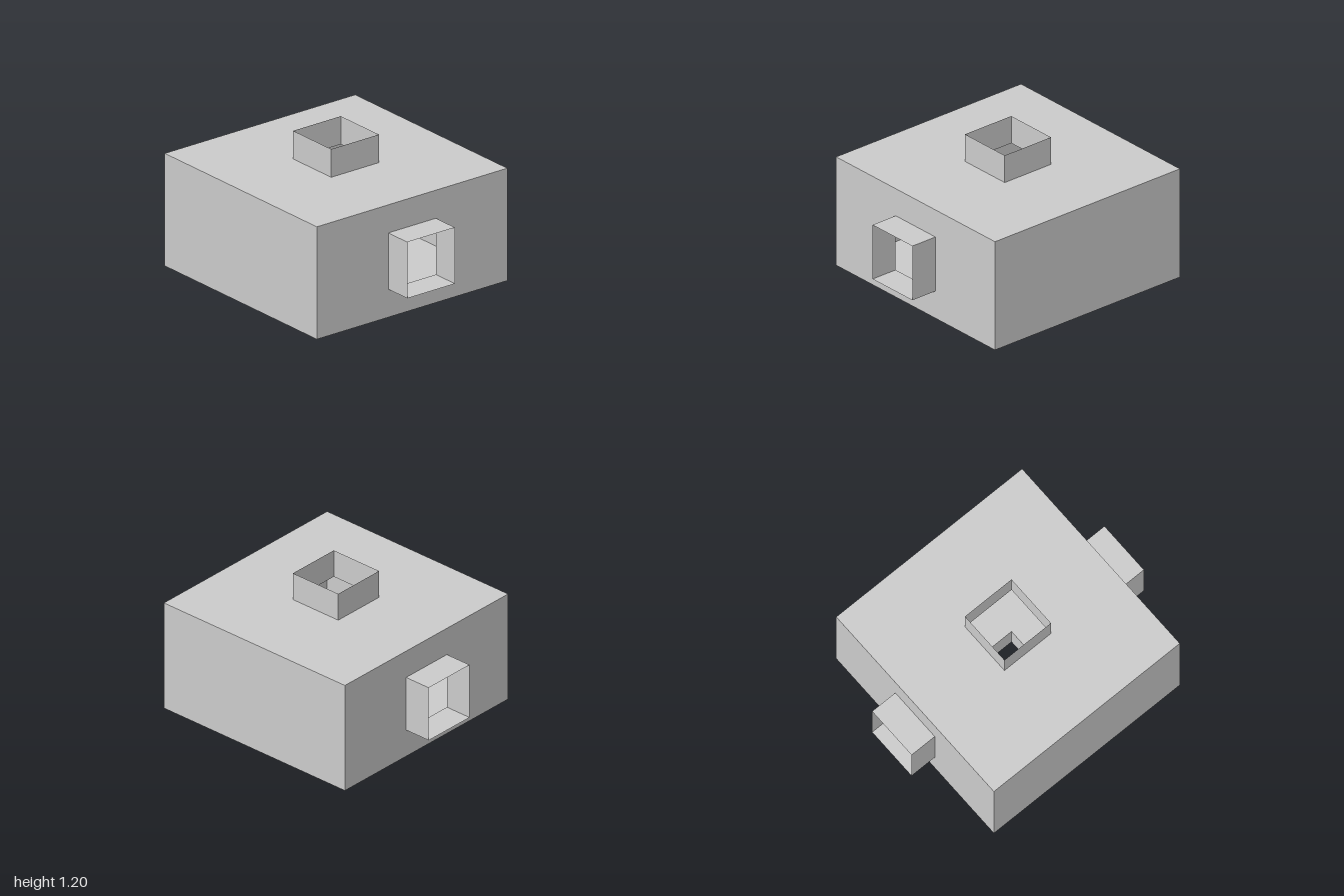
import * as THREE from 'three';

const material = new THREE.MeshStandardMaterial({ color: 0xcccccc, flatShading: true, side: THREE.DoubleSide });
const HOLE = 0.2; // half width of the square openings

// Flat wall facing +z, optionally with a square opening in its middle
function wall(name, width, height, open) {
  const x = width / 2, y = height / 2;
  const shape = new THREE.Shape([[-x, -y], [x, -y], [x, y], [-x, y]].map(p => new THREE.Vector2(...p)));
  if (open) {
    const h = HOLE;
    shape.holes.push(new THREE.Path([[-h, -h], [-h, h], [h, h], [h, -h]].map(p => new THREE.Vector2(...p))));
  }
  const mesh = new THREE.Mesh(new THREE.ShapeGeometry(shape), material);
  mesh.name = name;
  return mesh;
}

// Thin square duct, open at both ends, standing out along +z
function collar(name, length) {
  const group = new THREE.Group();
  group.name = name;
  for (let i = 0; i < 4; i++) {
    const geometry = new THREE.PlaneGeometry(2 * HOLE, length);
    geometry.rotateX(-Math.PI / 2).translate(0, HOLE, length / 2).rotateZ(i * Math.PI / 2);
    const side = new THREE.Mesh(geometry, material);
    side.name = 'collarSide';
    group.add(side);
  }
  return group;
}

export function createModel() {
  const model = new THREE.Group();
  model.name = 'hollowChamber';

  // Closed front and back walls
  for (const s of [1, -1]) {
    const panel = wall(s > 0 ? 'frontWall' : 'backWall', 1.6, 0.8, false);
    panel.position.set(0, 0.6, s * 0.8);
    panel.rotation.y = s > 0 ? 0 : Math.PI;
    model.add(panel);
  }

  // Open sides: each wall carries a collar around its opening
  for (const s of [1, -1]) {
    const side = new THREE.Group();
    side.name = s > 0 ? 'leftSide' : 'rightSide';
    side.add(wall('sideWall', 1.6, 0.8, true), collar('sideCollar', 0.2));
    side.position.set(s * 0.8, 0.6, 0);
    side.rotation.y = s * Math.PI / 2;

    const cap = new THREE.Group();
    cap.name = s > 0 ? 'topSide' : 'bottomSide';
    cap.add(wall('capWall', 1.6, 1.6, true), collar('capCollar', 0.2));
    cap.position.y = 0.6 + s * 0.4;
    cap.rotation.x = -s * Math.PI / 2;
    model.add(side, cap);
  }
  return model;
}
